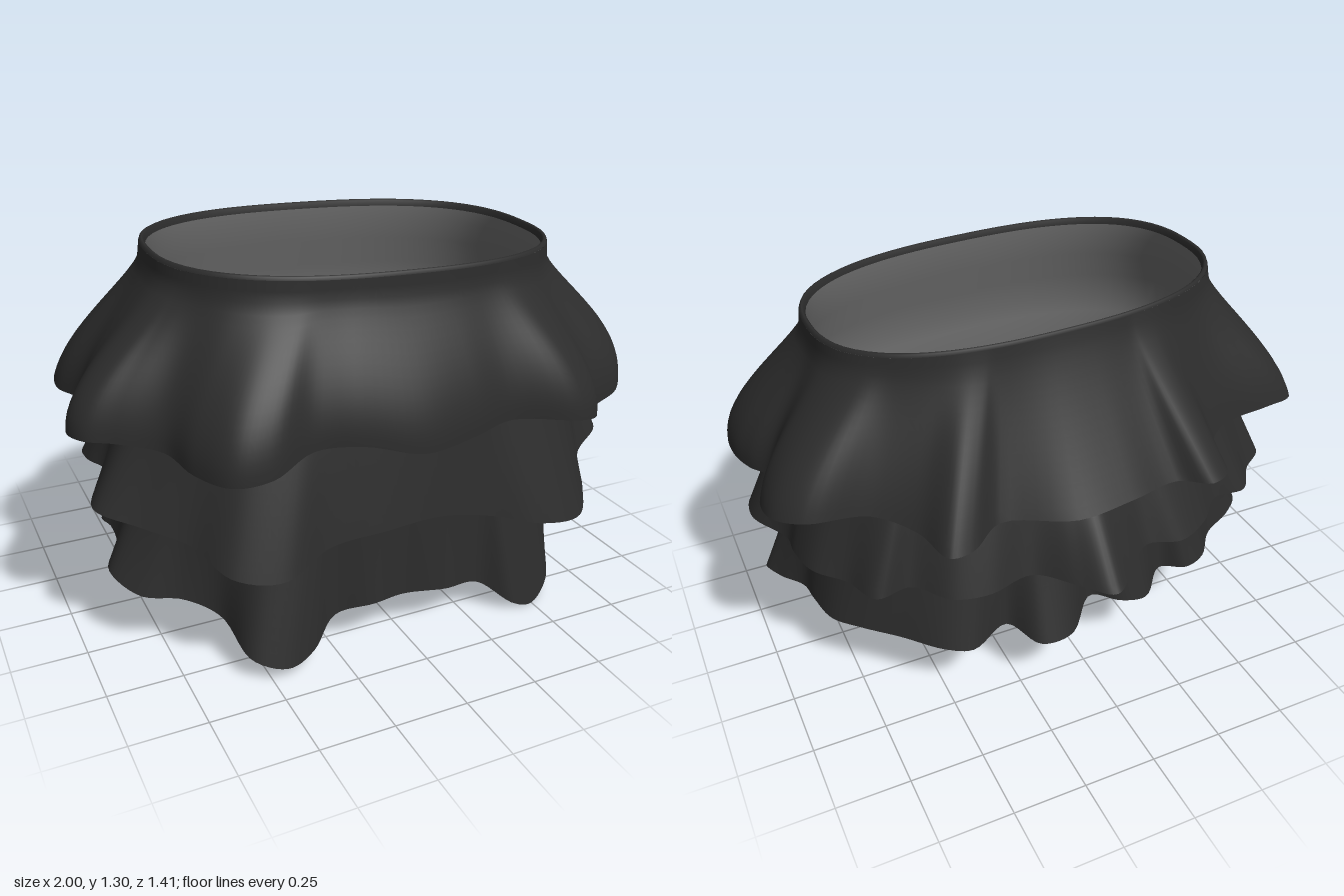
import * as THREE from 'three';

const CX = 0.03, CZ = 0.08, SEGS = 240;

// Rounded oval body section at an angle
function oval(a, scale, y) {
  const c = Math.cos(a), s = Math.sin(a), n = 2.5;
  const r = scale / Math.pow(Math.pow(Math.abs(c) / 0.7, n) + Math.pow(Math.abs(s) / 0.45, n), 1 / n);
  return new THREE.Vector3(CX + r * c, y, CZ + r * s);
}

// The waist edge tilts slightly to one side and to the front
function waist(a, scale, drop = 0) {
  const p = oval(a, scale, 0);
  p.y = 1.257 - drop - 0.022 * (p.x - CX) / 0.7 - 0.016 * (p.z - CZ) / 0.45;
  return p;
}

// Skin closed rings of equal length
function loft(name, rings, material) {
  const n = rings[0].length, pos = [], index = [];
  rings.forEach(r => r.forEach(p => pos.push(p.x, p.y, p.z)));
  for (let j = 0; j < rings.length - 1; j++) {
    for (let i = 0; i < n; i++) {
      const k = (i + 1) % n, a = j * n + i, b = j * n + k, c = a + n, d = b + n;
      index.push(a, b, c, b, d, c);
    }
  }
  const g = new THREE.BufferGeometry();
  g.setAttribute('position', new THREE.Float32BufferAttribute(pos, 3));
  g.setIndex(index);
  g.computeVertexNormals();
  const mesh = new THREE.Mesh(g, material);
  mesh.name = name;
  return mesh;
}

// Ruffle from a smooth top ring to a wavy hem; flare(t, angle) sets the outward sweep
function ruffle(name, hem, top, flare, material) {
  const curve = new THREE.CatmullRomCurve3(hem.map(p => new THREE.Vector3(...p)), true);
  const low = [];
  for (let i = 0; i < SEGS; i++) low.push(curve.getPoint(i / SEGS));
  const angles = low.map(p => Math.atan2(p.z - CZ, p.x - CX));
  const high = angles.map(a => top(a));
  const rings = [];
  for (let j = 0; j <= 16; j++) {
    const t = j / 16;
    rings.push(low.map((p, i) => {
      const q = high[i].clone().lerp(p, flare(t, angles[i]));
      q.y = THREE.MathUtils.lerp(high[i].y, p.y, t);
      return q;
    }));
  }
  return loft(name, rings, material);
}

// Hem points run from the left side to the front, right side and back
const upperHem = [
  [.92, .76, 0], [.97, .75, .1], [1, .75, .2], [.99, .74, .35], [.9, .7, .48], [.76, .68, .54],
  [.7, .69, .63], [.58, .72, .69], [.35, .745, .64], [.2, .73, .67], [0, .72, .7], [-.2, .77, .67],
  [-.35, .77, .64], [-.5, .73, .69], [-.62, .72, .67], [-.7, .73, .56], [-.75, .76, .44],
  [-.88, .79, .38], [-.97, .8, .34], [-1, .8, .26], [-.93, .79, .1], [-.9, .79, -.02],
  [-.94, .78, -.18], [-.9, .79, -.33], [-.77, .8, -.37], [-.58, .79, -.39], [-.5, .77, -.45],
  [-.46, .76, -.6], [-.38, .76, -.64], [-.28, .76, -.58], [-.1, .76, -.61], [.1, .75, -.62],
  [.33, .75, -.53], [.45, .73, -.6], [.53, .73, -.6], [.58, .75, -.47], [.7, .79, -.38],
  [.9, .81, -.36], [.98, .8, -.28], [.99, .78, -.15],
];
const middleHem = [
  [.9, .5, 0], [.98, .49, .18], [.95, .48, .32], [.82, .43, .4], [.76, .36, .52], [.65, .33, .65],
  [.48, .35, .67], [.3, .4, .63], [.1, .45, .64], [-.1, .45, .65], [-.3, .43, .64], [-.47, .38, .69],
  [-.62, .4, .64], [-.7, .46, .5], [-.82, .5, .4], [-.94, .53, .28], [-.9, .53, .12], [-.84, .53, 0],
  [-.87, .52, -.12], [-.86, .51, -.24], [-.77, .5, -.31], [-.68, .5, -.42], [-.55, .51, -.43],
  [-.45, .5, -.52], [-.33, .49, -.57], [-.2, .5, -.55], [-.1, .49, -.63], [0, .48, -.71],
  [.1, .49, -.63], [.22, .5, -.53], [.38, .49, -.55], [.5, .49, -.52], [.6, .5, -.42],
  [.72, .5, -.43], [.78, .5, -.31], [.87, .51, -.22], [.9, .51, -.1],
];
const lowerHem = [
  [.86, .24, .04], [.92, .22, .15], [.95, .21, .25], [.84, .18, .28], [.72, .16, .34], [.66, .1, .46],
  [.6, .04, .56], [.5, 0, .62], [.41, .03, .63], [.3, .11, .57], [.15, .14, .6], [0, .15, .58],
  [-.12, .155, .6], [-.25, .13, .57], [-.35, .06, .63], [-.45, .04, .66], [-.56, .08, .62],
  [-.6, .15, .45], [-.7, .2, .38], [-.83, .22, .33], [-.9, .27, .22], [-.83, .27, .05],
  [-.82, .27, -.07], [-.83, .26, -.17], [-.74, .26, -.26], [-.62, .25, -.32], [-.53, .24, -.42],
  [-.44, .24, -.45], [-.35, .24, -.41], [-.24, .22, -.51], [-.14, .23, -.5], [-.05, .24, -.44],
  [.08, .21, -.56], [.2, .21, -.56], [.28, .24, -.45], [.42, .22, -.5], [.51, .23, -.47],
  [.63, .24, -.36], [.74, .25, -.27], [.82, .25, -.18], [.85, .26, -.07],
];

export function createModel() {
  const cloth = new THREE.MeshStandardMaterial({ color: 0x2c2c2c, side: THREE.DoubleSide });
  cloth.name = 'black cloth';
  const inner = new THREE.MeshStandardMaterial({ color: 0x6a6a6a, side: THREE.DoubleSide });
  inner.name = 'grey lining';

  const group = new THREE.Group();
  group.name = 'tieredSkirt';

  // Three overlapping ruffled tiers; the top one bells out except at the back
  const bell = (t, a) => {
    const full = t < 0.12 ? t * 0.15 : 0.018 + 0.982 * Math.sin((t - 0.12) / 0.88 * Math.PI / 2) ** 1.25;
    return THREE.MathUtils.lerp(full, t ** 1.3, Math.max(0, -Math.sin(a)));
  };
  group.add(ruffle('upperTier', upperHem, a => waist(a, 1), bell, cloth));
  group.add(ruffle('middleTier', middleHem, a => oval(a, 1.1, 0.9), t => t, cloth));
  group.add(ruffle('lowerTier', lowerHem, a => oval(a, 1.07, 0.72), t => t ** 1.2, cloth));

  const angles = Array.from({ length: 96 }, (_, i) => i / 96 * Math.PI * 2);

  // Rolled waist edge
  group.add(loft('waistRim', [[1, 0], [0.995, -0.01], [0.985, -0.013], [0.975, -0.008], [0.97, 0.012]]
    .map(([s, d]) => angles.map(a => waist(a, s, d))), cloth));

  // Inner lining that swells below the waist, then draws in to carry the tiers
  const lining = [[0.972, 0.008], [0.974, 0.06], [1, 0.14], [1.05, 0.24], [1.085, 0.34], [1.065, 0.4], [1.05, 0.5], [1.05, 0.66]];
  group.add(loft('lining', lining.map(([s, d]) => angles.map(a => waist(a, s, d))), inner));

  return group;
}
